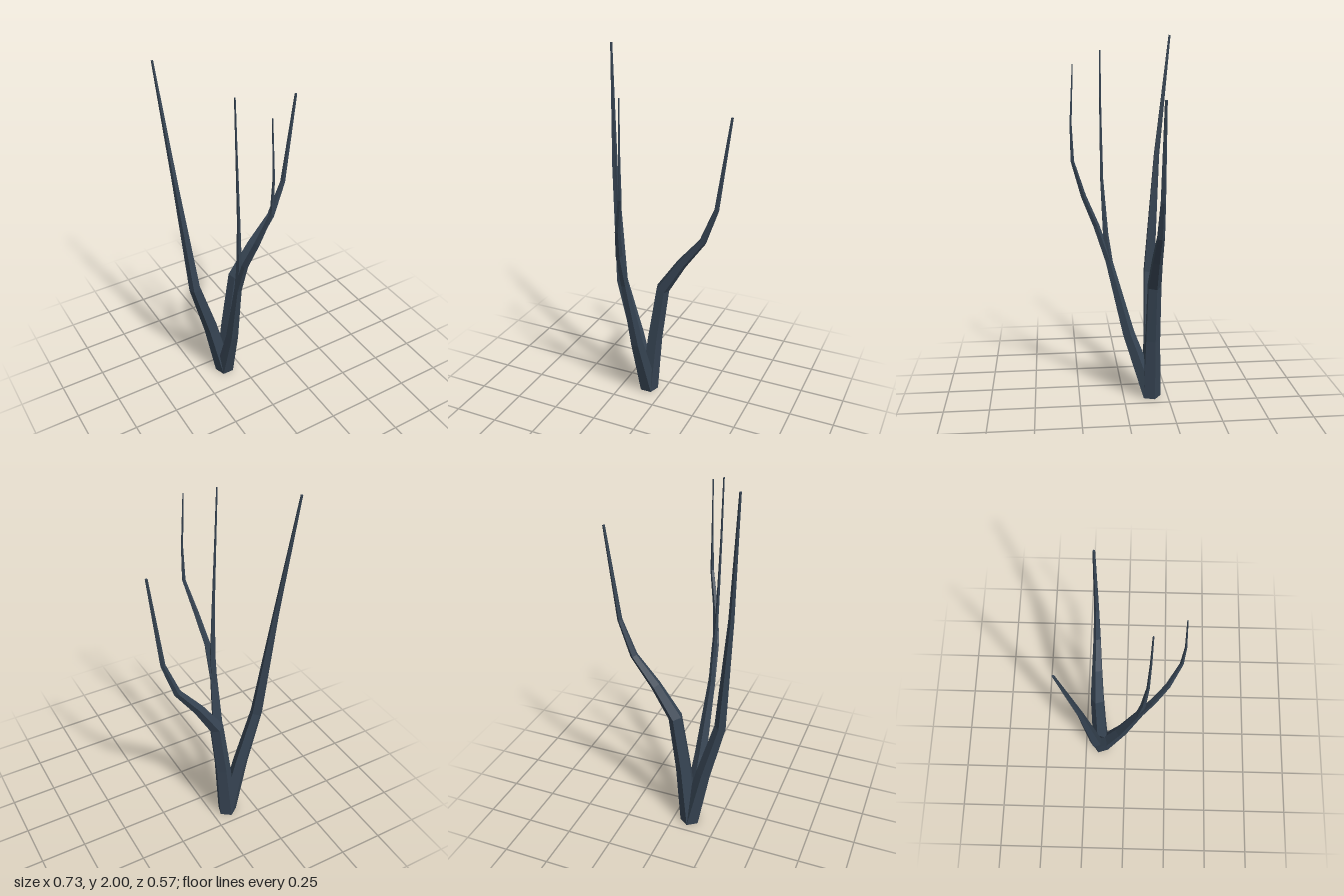
import * as THREE from 'three';

const SIDES = 5;
const UP = new THREE.Vector3(0, 1, 0);

// Tapered five-sided limb; each station is [x, y, z, radius]
function limb(name, stations, material) {
  const pts = stations.map(([x, y, z]) => new THREE.Vector3(x, y, z));
  const rings = pts.map((p, i) => {
    const dir = new THREE.Vector3();
    if (i > 0) dir.add(p.clone().sub(pts[i - 1]).normalize());
    if (i < pts.length - 1) dir.add(pts[i + 1].clone().sub(p).normalize());
    if (i === 0) dir.copy(UP);
    const q = new THREE.Quaternion().setFromUnitVectors(UP, dir.normalize());
    const r = stations[i][3];
    return Array.from({ length: SIDES }, (_, k) => {
      const a = Math.PI + (k / SIDES) * Math.PI * 2; // one corner points back
      return new THREE.Vector3(Math.sin(a) * r, 0, Math.cos(a) * r).applyQuaternion(q).add(p);
    });
  });
  const pos = [];
  const tri = (...vs) => vs.forEach((v) => pos.push(v.x, v.y, v.z));
  const last = rings.length - 1;
  for (let k = 0; k < SIDES; k++) {
    const n = (k + 1) % SIDES;
    for (let i = 0; i < last; i++) {
      const a = rings[i][k], b = rings[i][n], c = rings[i + 1][n], d = rings[i + 1][k];
      tri(a, b, c);
      tri(a, c, d);
    }
    // end caps
    tri(pts[0], rings[0][n], rings[0][k]);
    tri(pts[last], rings[last][k], rings[last][n]);
  }
  const geo = new THREE.BufferGeometry();
  geo.setAttribute('position', new THREE.Float32BufferAttribute(pos, 3));
  geo.computeVertexNormals();
  const mesh = new THREE.Mesh(geo, material);
  mesh.name = name;
  return mesh;
}

export function createModel() {
  const bark = new THREE.MeshStandardMaterial({ color: 0x364453, flatShading: true });
  bark.name = 'dark slate bark';

  const root = [-0.093, 0, -0.156, 0.055];
  const group = new THREE.Group();
  group.name = 'bareTree';
  group.add(
    // tall limb leaning to the right-hand side and back
    limb('tallLimb', [
      root,
      [-0.172, 0.36, -0.158, 0.042],
      [-0.262, 0.69, -0.159, 0.033],
      [-0.318, 1.35, -0.205, 0.016],
      [-0.362, 2.0, -0.277, 0.006],
    ], bark),
    // crooked limb reaching to the left-hand side
    limb('crookedLimb', [
      root,
      [-0.056, 0.36, -0.156, 0.045],
      [-0.009, 0.685, -0.158, 0.04],
      [0.102, 0.86, -0.158, 0.03],
      [0.222, 1.015, -0.158, 0.021],
      [0.295, 1.21, -0.157, 0.014],
      [0.36, 1.71, -0.156, 0.007],
    ], bark),
    // limb leaning forward, bending upright near its tip
    limb('forwardLimb', [
      root,
      [-0.108, 0.38, -0.026, 0.036],
      [-0.127, 0.8, 0.08, 0.021],
      [-0.123, 1.0, 0.147, 0.018],
      [-0.093, 1.17, 0.215, 0.015],
      [-0.048, 1.365, 0.272, 0.01],
      [-0.044, 1.56, 0.278, 0.006],
      [-0.047, 1.86, 0.264, 0.003],
    ], bark),
    // thin upright twig forking off the forward limb
    limb('uprightTwig', [
      [-0.126, 0.74, 0.066, 0.018],
      [-0.128, 0.95, 0.096, 0.016],
      [-0.138, 1.25, 0.114, 0.009],
      [-0.147, 1.6, 0.118, 0.006],
      [-0.153, 1.925, 0.118, 0.004],
    ], bark),
  );
  return group;
}
